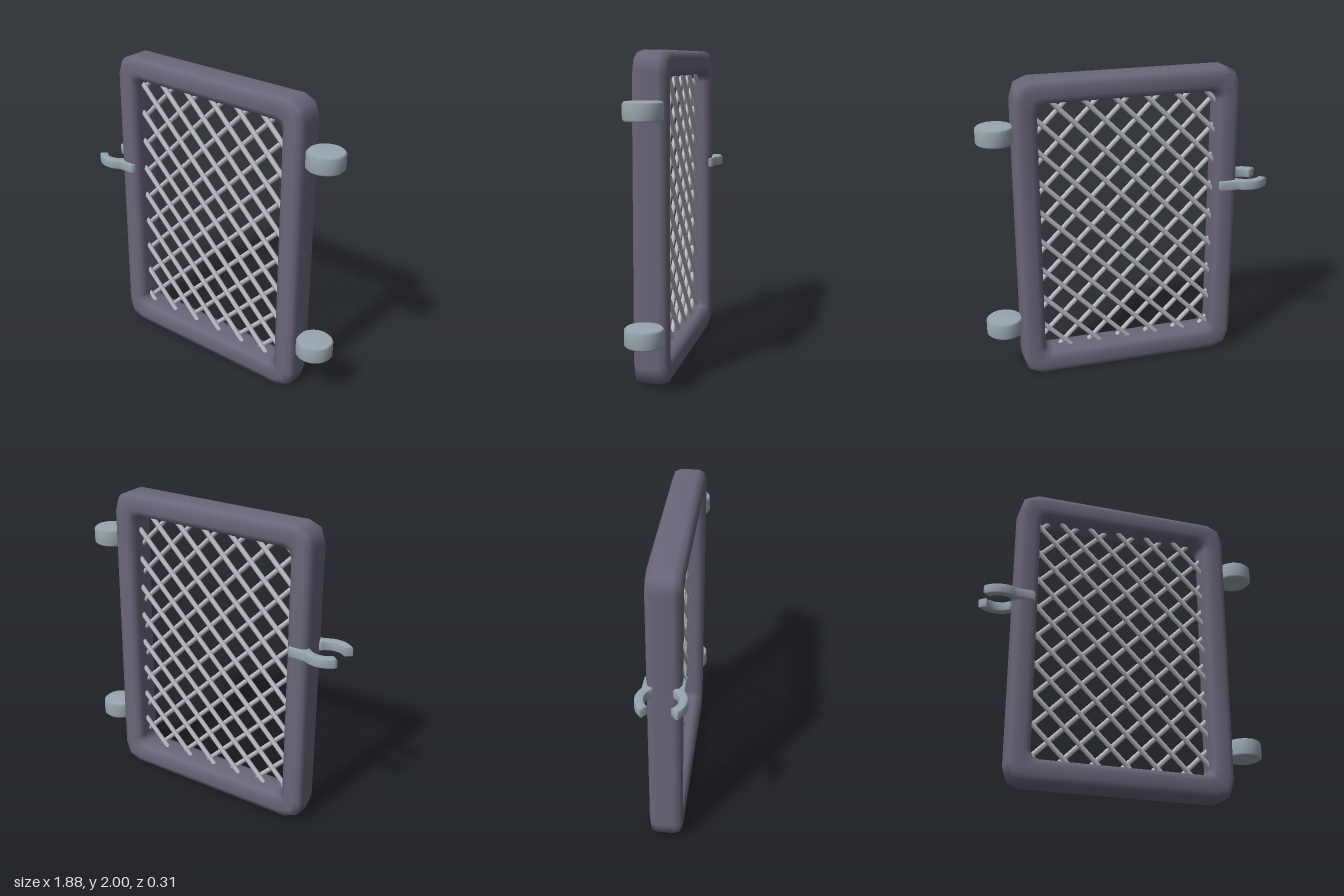
import * as THREE from 'three';
import { mergeVertices } from 'three/addons/utils/BufferGeometryUtils.js';

const material = (name, color) => {
  const m = new THREE.MeshStandardMaterial({ color });
  m.name = name;
  return m;
};

// Closed rectangle path with three points per corner, counter-clockwise
function cornerPath(hx, hy, cx, cy, dx, dy, k) {
  const path = [];
  for (const [sx, sy] of [[1, 1], [-1, 1], [-1, -1], [1, -1]]) {
    const pts = [[hx, hy - dy], [hx - dx * k, hy - dy * k], [hx - dx, hy]];
    if (sx * sy < 0) pts.reverse();
    for (const [x, y] of pts) path.push([cx + sx * x, cy + sy * y]);
  }
  return path;
}

// Rounded cross-section swept between the inner and outer outlines
function frameGeometry() {
  const outer = cornerPath(0.727, 1, -0.01, 1, 0.11, 0.13, 0.27);
  const inner = cornerPath(0.579, 0.842, -0.012, 1.002, 0.055, 0.055, 0.25);
  const D = 0.105;
  const half = [[1, 0.055], [0.91, 0.092], [0.7, D], [0.3, D], [0.09, 0.092], [0, 0.055]];
  const profile = [...half, ...half.map(([t, z]) => [t, -z]).reverse()];
  const n = outer.length, m = profile.length;
  const pos = [], idx = [];
  for (let i = 0; i < n; i++) {
    for (let j = 0; j < m; j++) {
      const [t, z] = profile[j];
      pos.push(
        THREE.MathUtils.lerp(inner[i][0], outer[i][0], t),
        THREE.MathUtils.lerp(inner[i][1], outer[i][1], t), z);
      const i2 = (i + 1) % n, j2 = (j + 1) % m;
      const a = i * m + j, b = i2 * m + j, c = i2 * m + j2, d = i * m + j2;
      idx.push(a, b, c, a, c, d);
    }
  }
  const g = new THREE.BufferGeometry();
  g.setAttribute('position', new THREE.Float32BufferAttribute(pos, 3));
  g.setIndex(idx);
  g.computeVertexNormals();
  return g;
}

// One curved, softly shaded latch prong; side is +1 for front, -1 for back
function prongGeometry(side) {
  const cx = -0.825, deg = Math.PI / 180, pts = [];
  const arc = (r, from, to) => {
    for (let i = 0; i <= 12; i++) {
      const a = (from + (to - from) * i / 12) * deg;
      pts.push(new THREE.Vector2(cx + r * Math.cos(a), side * r * Math.sin(a)));
    }
  };
  arc(0.155, 140, 55);
  for (const [x, y] of [[-0.63, 0.125], [-0.612, 0.105], [-0.612, 0.07], [-0.7, 0.065]])
    pts.push(new THREE.Vector2(x, side * y));
  arc(0.1, 35, 140);
  const extruded = new THREE.ExtrudeGeometry(new THREE.Shape(pts), {
    depth: 0.048, bevelThickness: 0.008, bevelSize: 0.008, bevelOffset: -0.008, bevelSegments: 1,
  });
  extruded.rotateX(Math.PI / 2);
  extruded.translate(0, 1.242, 0);
  extruded.deleteAttribute('normal');
  extruded.deleteAttribute('uv');
  const g = mergeVertices(extruded, 1e-4);
  g.computeVertexNormals();
  return g;
}

export function createModel() {
  const group = new THREE.Group();
  const frameMat = material('dark purple grey', 0x6b667a);
  const steelMat = material('blue grey steel', 0x9aa7af);
  const wireMat = material('light grey wire', 0xbbb9c3);
  const add = (name, geometry, mat, parent = group) => {
    const mesh = new THREE.Mesh(geometry, mat);
    mesh.name = name;
    parent.add(mesh);
    return mesh;
  };

  add('frame', frameGeometry(), frameMat);

  // Diagonal wires in two crossing layers, clipped to the opening
  const wires = new THREE.Group();
  wires.name = 'wireMesh';
  group.add(wires);
  const x0 = -0.6, x1 = 0.575, y0 = 0.155, y1 = 1.85, step = 0.2;
  for (const slope of [1, -1]) {
    for (let k = -10; k <= 16; k++) {
      // line through (px, 0.19)
      const px = -0.38 + k * step;
      const yAt = (x) => 0.19 + slope * (x - px);
      const xAt = (y) => px + slope * (y - 0.19);
      const xa = Math.max(x0, Math.min(xAt(y0), xAt(y1)));
      const xb = Math.min(x1, Math.max(xAt(y0), xAt(y1)));
      if (xb - xa < 0.03) continue;
      const z = -slope * 0.015;
      const a = new THREE.Vector3(xa, yAt(xa), z), b = new THREE.Vector3(xb, yAt(xb), z);
      const rod = add('wire', new THREE.CylinderGeometry(0.016, 0.016, a.distanceTo(b), 8), wireMat, wires);
      rod.position.copy(a).add(b).multiplyScalar(0.5);
      rod.quaternion.setFromUnitVectors(new THREE.Vector3(0, 1, 0), b.sub(a).normalize());
    }
  }

  // Round hinges
  const R = 0.118, H = 0.056, B = 0.012;
  const hingeProfile = [[0, -H], [R - B, -H], [R, -H + B], [R, H - B],
    [R - B, H], [0, H]].map(([x, y]) => new THREE.Vector2(x, y));
  for (const [name, y] of [['upperHinge', 1.659], ['lowerHinge', 0.361]])
    add(name, new THREE.LatheGeometry(hingeProfile, 32), steelMat).position.set(0.822, y, 0);

  // Latch fork
  add('frontLatchProng', prongGeometry(1), steelMat);
  add('backLatchProng', prongGeometry(-1), steelMat);
  return group;
}
